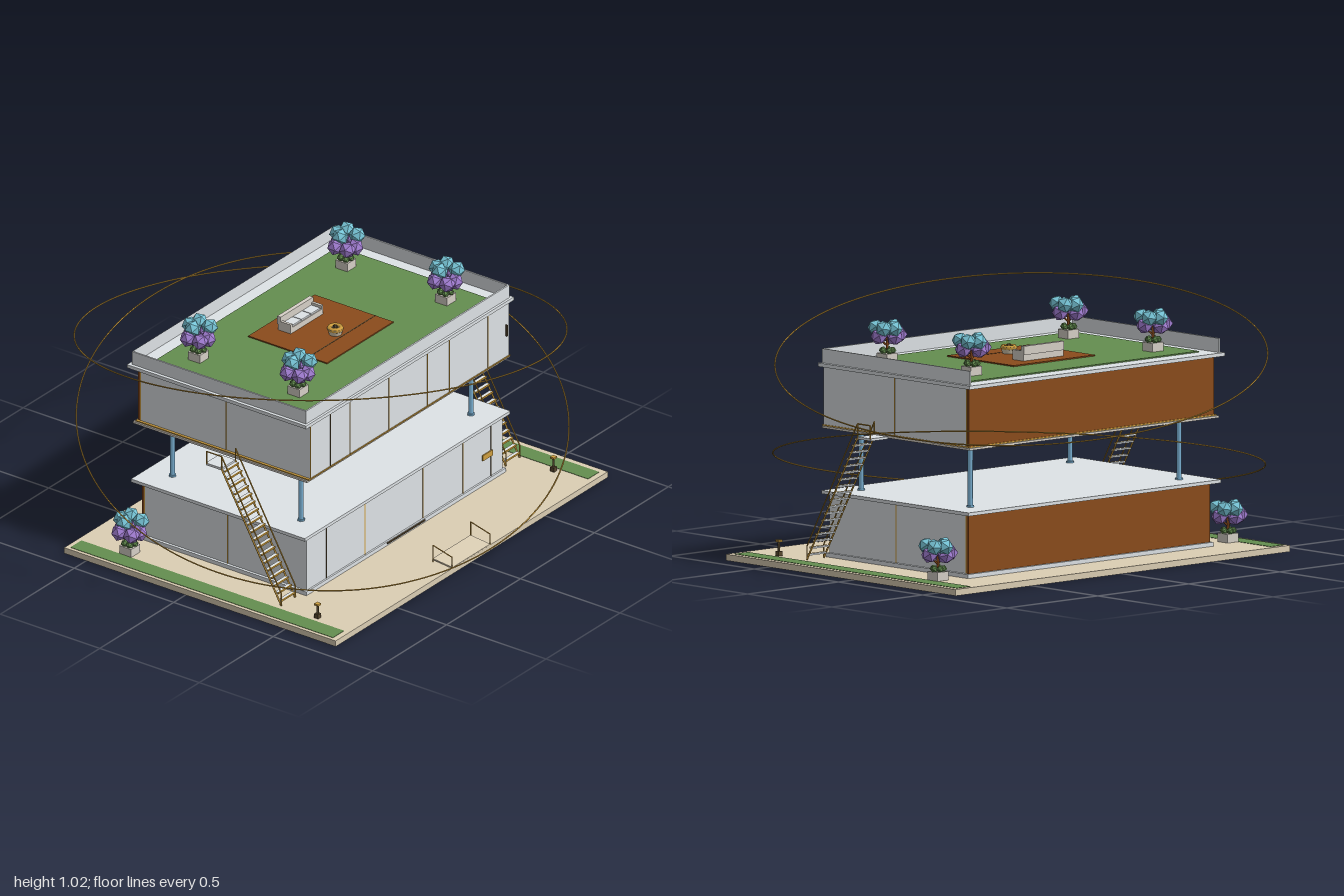
import * as THREE from 'three';

const mat = (name, color) => {
  const m = new THREE.MeshStandardMaterial({ color });
  m.name = name;
  return m;
};

export function createModel() {
  const root = new THREE.Group();
  root.name = 'twoStoreyHouse';
  const M = {
    stone: mat('sandStone', 0xdccfb5),
    panel: mat('paleConcrete', 0xdfe4e7),
    warmGrey: mat('warmGrey', 0xd8d2c8),
    grass: mat('grass', 0x658f50),
    wood: mat('wood', 0x8b4c1c),
    gold: mat('goldTrim', 0xd0a040),
    blue: mat('bluePillar', 0x7fb8dc),
    teal: mat('tealFoliage', 0x78c6d8),
    purple: mat('purpleFoliage', 0xa07cd0),
    dark: mat('darkMetal', 0x5a4a30),
  };

  const add = (name, geo, m, parent = root) => {
    const mesh = new THREE.Mesh(geo, m);
    mesh.name = name;
    parent.add(mesh);
    return mesh;
  };
  // Box given by its minimum and maximum on each axis
  const box = (name, m, x0, x1, y0, y1, z0, z1, parent) => {
    const b = add(name, new THREE.BoxGeometry(x1 - x0, y1 - y0, z1 - z0), m, parent);
    b.position.set((x0 + x1) / 2, (y0 + y1) / 2, (z0 + z1) / 2);
    return b;
  };
  // Round bar between two points
  const bar = (name, m, a, b, r, parent) => {
    const A = new THREE.Vector3(...a), B = new THREE.Vector3(...b);
    const d = B.clone().sub(A);
    const c = add(name, new THREE.CylinderGeometry(r, r, d.length(), 6), m, parent);
    c.position.copy(A).add(B).multiplyScalar(0.5);
    c.quaternion.setFromUnitVectors(new THREE.Vector3(0, 1, 0), d.normalize());
  };

  // Ground plate and lawn strips
  box('groundPlate', M.stone, -0.92, 0.92, 0, 0.026, -0.61, 0.755);
  box('lawnStrip', M.grass, -0.905, -0.83, 0.024, 0.0275, -0.59, 0.73);
  box('lawnStrip', M.grass, 0.82, 0.895, 0.024, 0.0275, -0.59, 0.73);

  // One storey: panelled box, timber back wall and seams
  const storey = (name, x, y0, y1, z0, z1, goldSeams, darkSeams) => {
    const g = new THREE.Group();
    g.name = name;
    root.add(g);
    box('walls', M.panel, -x, x, y0, y1, z0 + 0.012, z1, g);
    box('timberBackWall', M.wood, -x, x, y0, y1, z0, z0 + 0.012, g);
    for (const [list, m] of [[goldSeams, M.gold], [darkSeams, M.dark]])
      for (const s of list) box('panelSeam', m, s - 0.002, s + 0.002, y0, y1, z1, z1 + 0.002, g);
    for (const s of [-1, 1]) {
      const e = s * (x + 0.001);
      for (const z of [0.02, z0 + 0.014])
        box('sideSeam', M.gold, e - 0.001, e + 0.001, y0, y1, z - 0.002, z + 0.002, g);
    }
    return g;
  };

  // Ground floor
  box('lowerPlinth', M.panel, -0.675, 0.675, 0.026, 0.043, -0.42, 0.425);
  const lower = storey('lowerStorey', 0.663, 0.043, 0.286, -0.41, 0.417,
    [-0.27, 0.125, 0.395], [-0.53, 0.585]);
  box('letterBox', M.gold, 0.525, 0.59, 0.135, 0.16, 0.417, 0.422, lower);
  box('doorStep', M.dark, -0.13, 0.125, 0.034, 0.04, 0.425, 0.43, lower);
  box('lowerRoofSlab', M.panel, -0.697, 0.692, 0.284, 0.298, -0.44, 0.434);

  // Pillars carrying the upper floor
  for (const x of [-0.575, 0.573]) for (const z of [-0.322, 0.325]) {
    bar('pillar', M.blue, [x, 0.298, z], [x, 0.55, z], 0.011);
    bar('pillarFoot', M.blue, [x, 0.298, z], [x, 0.305, z], 0.016);
    bar('pillarHead', M.blue, [x, 0.543, z], [x, 0.55, z], 0.016);
  }

  // Upper floor
  box('upperFloorSlab', M.warmGrey, -0.69, 0.682, 0.55, 0.559, -0.435, 0.44);
  box('floorTrim', M.gold, -0.684, 0.676, 0.559, 0.564, -0.427, 0.446);
  const upper = storey('upperStorey', 0.673, 0.564, 0.802, -0.423, 0.442,
    [-0.14, 0.12, 0.27, 0.53, -0.671], [-0.535, -0.405]);
  box('doorHandle', M.dark, 0.648, 0.654, 0.66, 0.71, 0.442, 0.45, upper);
  box('roofSlab', M.panel, -0.704, 0.7, 0.802, 0.817, -0.455, 0.446);

  // Parapet: front and side walls, and a sheet at the back facing the garden
  box('frontParapet', M.panel, -0.69, 0.686, 0.817, 0.875, 0.428, 0.435);
  box('sideParapet', M.panel, -0.69, -0.683, 0.817, 0.875, -0.44, 0.428);
  box('sideParapet', M.panel, 0.679, 0.686, 0.817, 0.875, -0.44, 0.428);
  add('backParapet', new THREE.PlaneGeometry(1.376, 0.058), M.panel).position.set(-0.002, 0.846, -0.44);

  // Roof garden with timber deck
  box('roofLawn', M.grass, -0.63, 0.622, 0.817, 0.822, -0.38, 0.37);
  box('deck', M.wood, -0.227, 0.222, 0.822, 0.827, -0.2, 0.196);
  box('deckGap', M.dark, -0.227, 0.222, 0.827, 0.828, 0.103, 0.107);

  // Bench
  const bench = new THREE.Group();
  bench.name = 'bench';
  root.add(bench);
  box('benchBase', M.warmGrey, -0.112, 0.108, 0.827, 0.852, -0.135, -0.072, bench);
  box('benchBack', M.warmGrey, -0.112, 0.108, 0.852, 0.888, -0.14, -0.122, bench);
  for (const x of [-0.112, 0.096])
    box('benchArm', M.warmGrey, x, x + 0.012, 0.852, 0.868, -0.122, -0.072, bench);
  for (let i = 0; i < 3; i++)
    box('cushion', M.panel, -0.096 + i * 0.064, -0.036 + i * 0.064, 0.852, 0.859, -0.12, -0.076, bench);

  // Fire bowl
  const bowl = new THREE.Group();
  bowl.name = 'fireBowl';
  bowl.position.set(-0.002, 0.827, 0.07);
  root.add(bowl);
  add('bowlBody', new THREE.CylinderGeometry(0.034, 0.026, 0.028, 12), M.stone, bowl).position.y = 0.014;
  const rim = add('bowlRim', new THREE.TorusGeometry(0.024, 0.011, 6, 14), M.gold, bowl);
  rim.rotation.x = Math.PI / 2;
  rim.position.y = 0.025;
  add('embers', new THREE.IcosahedronGeometry(0.012), M.dark, bowl).position.y = 0.03;

  // Potted tree: planter, shrubs, trunk, purple lower and teal upper foliage
  const tree = (x, y, z) => {
    const g = new THREE.Group();
    g.name = 'pottedTree';
    g.position.set(x, y, z);
    root.add(g);
    box('planter', M.warmGrey, -0.03, 0.03, 0, 0.036, -0.03, 0.03, g);
    for (let i = 0; i < 5; i++) {
      const a = i * 1.257;
      add('shrub', new THREE.IcosahedronGeometry(0.016), M.grass, g)
        .position.set(Math.cos(a) * 0.021, 0.046, Math.sin(a) * 0.021);
    }
    bar('trunk', M.wood, [0, 0.03, 0], [0, 0.1, 0], 0.006, g);
    bar('branch', M.wood, [0, 0.065, 0], [-0.04, 0.095, 0.01], 0.004, g);
    bar('branch', M.wood, [0, 0.065, 0], [0.035, 0.095, 0.005], 0.004, g);
    const blobs = (m, list) => list.forEach(([bx, by, bz], i) => {
      const b = add('foliage', new THREE.IcosahedronGeometry(0.035), m, g);
      b.position.set(bx, by, bz);
      b.rotation.set(i * 0.7, i * 1.3, i * 0.4);
    });
    blobs(M.purple, [[-0.05, 0.108, -0.015], [-0.04, 0.106, 0.038], [0.004, 0.102, 0.045], [0.042, 0.106, 0.005], [-0.008, 0.102, -0.035]]);
    blobs(M.teal, [[-0.022, 0.142, -0.012], [0.004, 0.14, -0.045], [0.047, 0.142, -0.03], [0.036, 0.14, 0.03]]);
  };
  for (const x of [-0.5, 0.497]) for (const z of [-0.248, 0.253]) tree(x, 0.822, z);
  for (const x of [-0.8, 0.795]) tree(x, 0.027, -0.37);

  // Outside stairs on both sides
  for (const [x0, x1] of [[-0.81, -0.717], [0.709, 0.802]]) {
    const g = new THREE.Group();
    g.name = 'outsideStairs';
    root.add(g);
    const n = 18;
    for (let i = 0; i < n; i++) {
      const z = 0.4 - (i + 0.5) * 0.3 / n, y = 0.03 + (i + 0.8) * 0.53 / n;
      box('tread', M.panel, x0, x1, y - 0.006, y, z - 0.008, z + 0.006, g);
      box('treadEdge', M.gold, x0, x1, y - 0.006, y + 0.001, z + 0.006, z + 0.01, g);
    }
    box('landing', M.panel, x0, x1, 0.552, 0.562, 0.02, 0.1, g);
    for (const x of [x0, x1]) {
      bar('stringer', M.gold, [x, 0.03, 0.4], [x, 0.558, 0.1], 0.004, g);
      bar('handrail', M.gold, [x, 0.085, 0.4], [x, 0.615, 0.1], 0.003, g);
      bar('railPost', M.gold, [x, 0.03, 0.4], [x, 0.085, 0.4], 0.003, g);
      bar('railPost', M.gold, [x, 0.558, 0.1], [x, 0.615, 0.1], 0.003, g);
    }
    const out = x0 < 0 ? x0 : x1;
    bar('landingRail', M.gold, [out, 0.615, 0.1], [out, 0.615, 0.025], 0.003, g);
    bar('landingPost', M.gold, [out, 0.56, 0.025], [out, 0.615, 0.025], 0.003, g);
  }

  // Entrance ramp with low rails
  const ramp = box('entranceRamp', M.stone, -0.13, 0.125, 0.029, 0.035, 0.655, 0.755);
  ramp.rotation.x = 0.1;
  for (const x of [-0.13, 0.125]) {
    bar('rampRail', M.gold, [x, 0.075, 0.753], [x, 0.1, 0.657], 0.0025);
    bar('rampPost', M.gold, [x, 0.026, 0.753], [x, 0.075, 0.753], 0.0025);
    bar('rampPost', M.gold, [x, 0.026, 0.657], [x, 0.1, 0.657], 0.0025);
  }

  // Bollards
  for (const x of [-0.8, 0.795]) {
    box('bollardFoot', M.dark, x - 0.01, x + 0.01, 0.026, 0.045, 0.565, 0.585);
    bar('bollardPost', M.dark, [x, 0.04, 0.575], [x, 0.085, 0.575], 0.005);
    box('bollardCap', M.gold, x - 0.01, x + 0.01, 0.083, 0.091, 0.565, 0.585);
  }

  // Two large tilted rings around the house
  const ring = (name, cx, cz, y, slopeX, slopeZ) => {
    const pts = [];
    for (let i = 0; i < 48; i++) {
      const a = i * Math.PI / 24, x = Math.cos(a) * 0.994, z = Math.sin(a) * 0.994;
      pts.push(new THREE.Vector3(x + cx, y + slopeX * x + slopeZ * z, z + cz));
    }
    add(name, new THREE.TubeGeometry(new THREE.CatmullRomCurve3(pts, true), 160, 0.003, 6, true), M.gold);
  };
  ring('upperRing', -0.003, -0.003, 0.81, -0.16, 0.137);
  ring('lowerRing', 0.003, 0.003, 0.405, 0.19, -0.17);

  return root;
}
